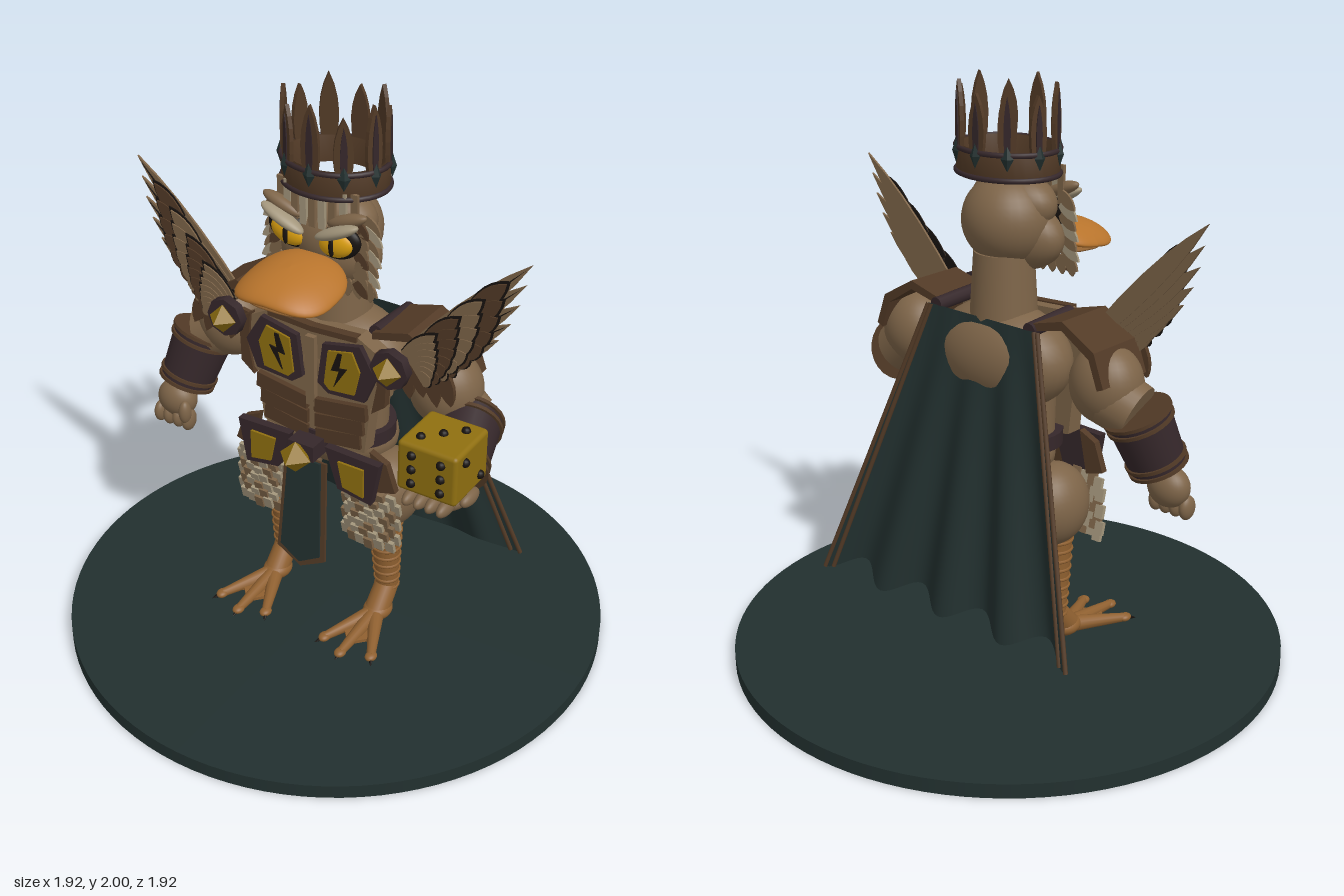
import * as THREE from 'three';
import { RoundedBoxGeometry } from 'three/addons/geometries/RoundedBoxGeometry.js';

const paint = (name, color, extra = {}) => new THREE.MeshStandardMaterial({ name, color, ...extra });
const V = (x, y, z) => new THREE.Vector3(x, y, z);

export function createModel() {
  const model = new THREE.Group();
  model.name = 'crownedBirdWarrior';
  const body = paint('body brown', 0x7d6448), armour = paint('armour brown', 0x523a26);
  const leather = paint('dark leather', 0x35272a), gold = paint('old gold', 0x8f6f10);
  const yellow = paint('eye yellow', 0xdca010), orange = paint('bill orange', 0xb8742c);
  const scale = paint('leg tan', 0x8f6030), cream = paint('feather cream', 0xa2957b);
  const teal = paint('dark teal', 0x22302f, { side: THREE.DoubleSide }), black = paint('black', 0x17120f);

  // Helpers
  const add = (name, geo, mat, pos = [0, 0, 0], rot = [0, 0, 0], size = [1, 1, 1]) => {
    const m = new THREE.Mesh(geo, mat);
    m.name = name;
    m.position.set(...pos); m.rotation.set(...rot); m.scale.set(...size);
    model.add(m);
    return m;
  };
  const ball = new THREE.SphereGeometry(1, 32, 20), bead = new THREE.SphereGeometry(1, 12, 8);
  const blob = (name, mat, pos, size, rot) => add(name, ball, mat, pos, rot, size);
  const box = (name, mat, pos, size, rot) => add(name, new THREE.BoxGeometry(...size), mat, pos, rot);
  const plate = (name, pts, depth, mat, z, rot) => add(name, new THREE.ExtrudeGeometry(
    new THREE.Shape(pts.map(p => new THREE.Vector2(...p))), { depth, bevelEnabled: false }), mat, [0, 0, z], rot);
  const limb = (name, a, b, ra, rb, mat, sides = 24) => {
    const d = b.clone().sub(a);
    const m = add(name, new THREE.CylinderGeometry(rb, ra, d.length(), sides), mat, a.clone().lerp(b, 0.5).toArray());
    m.quaternion.setFromUnitVectors(V(0, 1, 0), d.normalize());
    return m;
  };
  const tube = (name, pts, r, mat, n = 24) =>
    add(name, new THREE.TubeGeometry(new THREE.CatmullRomCurve3(pts), n, r, 10), mat);
  const mirror = (s, pts) => pts.map(([x, y]) => [x * s, y]);
  const both = fn => [1, -1].forEach(fn);

  // Leaf-shaped feather of unit length, pointing up
  const leaf = new THREE.Shape();
  leaf.moveTo(-0.3, 0); leaf.lineTo(0.3, 0);
  leaf.quadraticCurveTo(0.62, 0.6, 0, 1); leaf.quadraticCurveTo(-0.62, 0.6, -0.3, 0);
  const leafGeo = new THREE.ExtrudeGeometry(leaf, { depth: 1, bevelEnabled: false, curveSegments: 5 });
  const feather = (name, x, y, tx, ty, z, width, mat, thick = 0.008) => add(name, leafGeo, mat, [x, y, z],
    [0, 0, Math.atan2(ty - y, tx - x) - Math.PI / 2], [width, Math.hypot(tx - x, ty - y), thick]);

  // Base
  add('base', new THREE.CylinderGeometry(0.96, 0.96, 0.05, 96), teal, [0, 0.025, 0]);

  // Torso, neck and head
  blob('chest', body, [0, 1.09, -0.02], [0.27, 0.18, 0.165]);
  add('waist', new THREE.CylinderGeometry(0.2, 0.19, 0.3, 32), body, [0, 0.93, -0.01], [0, 0, 0], [1, 1, 0.62]);
  blob('belly', body, [0, 0.77, -0.04], [0.21, 0.13, 0.155]);
  add('neck', new THREE.CylinderGeometry(0.1, 0.115, 0.25, 32), body, [0, 1.32, -0.02]);
  blob('head', body, [0, 1.545, 0], [0.155, 0.15, 0.15]);
  blob('face', body, [0, 1.49, 0.04], [0.19, 0.12, 0.1]);
  blob('brow mass', body, [0, 1.6, 0.03], [0.165, 0.1, 0.1]);

  // Forehead feather strips under the crown
  for (let i = -4; i <= 4; i++) {
    const x = i * 0.034;
    box('foreheadFeather', i % 2 ? cream : body, [x, 1.66, 0.135 - 1.6 * x * x], [0.024, 0.13, 0.012]);
  }

  // Bill: squared-off flattened balls, arched across and drooping to the tip
  const bill = (name, mat, w, l, zc, y0, thick, arch, droop) => {
    const g = new THREE.SphereGeometry(1, 40, 24), p = g.attributes.position;
    const square = v => Math.sign(v) * Math.abs(v) ** 0.75;
    for (let i = 0; i < p.count; i++) {
      const x = square(p.getX(i)), z = square(p.getZ(i));
      p.setXYZ(i, w * x, y0 + thick * p.getY(i) - arch * x * x - droop * ((z + 1) / 2) ** 2, zc + l * z);
    }
    g.computeVertexNormals();
    add(name, g, mat);
  };
  bill('upperBill', orange, 0.168, 0.15, 0.26, 1.488, 0.034, 0.045, 0.045);
  bill('lowerBill', scale, 0.135, 0.13, 0.25, 1.43, 0.018, 0.012, 0.02);

  // Eyes, brows and cheek feathers
  both(s => {
    blob('eyeRim', black, [s * 0.092, 1.56, 0.125], [0.08, 0.056, 0.028], [0, 0, s * 0.3]);
    blob('eye', yellow, [s * 0.09, 1.557, 0.137], [0.064, 0.043, 0.027], [0, 0, s * 0.25]);
    blob('pupil', black, [s * 0.085, 1.556, 0.16], [0.01, 0.034, 0.009]);
    blob('brow', cream, [s * 0.1, 1.607, 0.155], [0.085, 0.02, 0.03], [0, 0, s * 0.42]);
    blob('upperBrow', body, [s * 0.12, 1.64, 0.125], [0.075, 0.022, 0.025], [0, 0, s * 0.35]);
    for (let i = 0; i < 7; i++) {
      const y = 1.62 - i * 0.034;
      feather('cheekFeather', s * 0.155, y + 0.02, s * (0.215 + 0.008 * (i % 2)), y - 0.03, 0.075 + i * 0.003, 0.05, i % 2 ? cream : body);
      feather('innerCheekFeather', s * 0.14, y + 0.01, s * 0.185, y - 0.04, 0.1, 0.045, i % 3 ? body : armour);
    }
    for (let i = 0; i < 5; i++)
      feather('chinFeather', s * (0.02 + i * 0.04), 1.43, s * (0.025 + i * 0.042), 1.365, 0.095, 0.05, body);
  });

  // Crown: band, rims, pointed leaves and gems
  const crown = new THREE.Group();
  crown.name = 'crown';
  const band = new THREE.Mesh(new THREE.LatheGeometry([[0.16, 1.7], [0.18, 1.7], [0.182, 1.79], [0.162, 1.79], [0.16, 1.7]]
    .map(p => new THREE.Vector2(...p)), 32), armour);
  band.name = 'crownBand';
  crown.add(band);
  for (const y of [1.705, 1.785]) {
    const rim = new THREE.Mesh(new THREE.TorusGeometry(0.18, 0.009, 8, 40), leather);
    rim.name = 'crownRim'; rim.rotation.x = Math.PI / 2; rim.position.y = y;
    crown.add(rim);
  }
  for (let i = 0; i < 10; i++) {
    const spoke = new THREE.Group(), h = i % 2 ? 0.2 : 0.23;
    spoke.name = 'crownPoint';
    spoke.rotation.y = i * Math.PI / 5;
    const point = new THREE.Mesh(leafGeo, armour);
    point.position.set(0, 1.77, 0.165); point.scale.set(0.08, h, 0.014);
    const rib = new THREE.Mesh(leafGeo, leather);
    rib.position.set(0, 1.78, 0.175); rib.scale.set(0.03, h - 0.04, 0.008);
    const gem = new THREE.Mesh(new THREE.OctahedronGeometry(1), teal);
    gem.position.set(0, 1.775, 0.185); gem.scale.set(0.022, 0.04, 0.014);
    spoke.add(point, rib, gem);
    crown.add(spoke);
  }
  crown.scale.z = 0.84;
  model.add(crown);

  // Breastplate with framed gold panels and banded midriff
  const chestHalf = [[0, 1.24], [0.17, 1.25], [0.28, 1.19], [0.27, 1.04], [0.22, 1], [0.2, 0.82], [0, 0.78]];
  both(s => {
    plate('breastplate', mirror(s, chestHalf), 0.06, body, 0.08);
    plate('chestFrame', mirror(s, [[0.03, 1.05], [0.05, 1.2], [0.19, 1.23], [0.25, 1.13], [0.21, 1.03], [0.07, 1.02]]), 0.025, leather, 0.135);
    plate('chestPanel', mirror(s, [[0.06, 1.06], [0.075, 1.185], [0.165, 1.205], [0.195, 1.14], [0.175, 1.05], [0.08, 1.04]]), 0.008, gold, 0.16);
    plate('chestCrack', mirror(s, [[0.115, 1.19], [0.09, 1.12], [0.12, 1.125], [0.1, 1.06], [0.15, 1.14], [0.12, 1.135], [0.13, 1.19]]), 0.005, black, 0.168);
    for (let i = 0; i < 3; i++) {
      const y = 1.01 - i * 0.06;
      plate('midriffBand', mirror(s, [[0.015, y - 0.03], [0.21 - i * 0.012, y], [0.215 - i * 0.012, y - 0.055], [0.015, y - 0.08]]), 0.03, armour, 0.13 - i * 0.004);
    }
    plate('sideTrim', mirror(s, [[0.24, 1.22], [0.285, 1.19], [0.28, 1.03], [0.23, 0.99], [0.25, 1.1]]), 0.03, armour, 0.12);
    plate('collar', mirror(s, [[0.0, 1.225], [0.17, 1.235], [0.17, 1.255], [0.0, 1.245]]), 0.03, armour, 0.12);
    // Shoulder guard: bent plate running front to back
    plate('shoulderGuard', mirror(s, [[0.2, 1.26], [0.33, 1.295], [0.46, 1.22], [0.5, 1.11], [0.475, 1.1], [0.44, 1.195], [0.33, 1.265], [0.2, 1.235]]), 0.22, armour, -0.12);
    for (let i = 0; i < 5; i++)
      feather('shoulderFringe', s * (0.28 + i * 0.045), 1.2, s * (0.3 + i * 0.05), 1.09 - (i % 2) * 0.02, 0.1, 0.07, armour, 0.015);
    // Shoulder disc and stud
    add('shoulderDisc', new THREE.CylinderGeometry(0.068, 0.068, 0.035, 8), leather, [s * 0.315, 1.2, 0.175], [Math.PI / 2, 0, 0]);
    add('shoulderStud', new THREE.OctahedronGeometry(0.052), gold, [s * 0.315, 1.2, 0.2]);
    // Hip plates
    plate('hipPlate', mirror(s, [[0.07, 0.82], [0.28, 0.815], [0.25, 0.65], [0.12, 0.67]]), 0.03, leather, 0.15);
    plate('hipPanel', mirror(s, [[0.125, 0.785], [0.225, 0.785], [0.225, 0.675], [0.145, 0.69]]), 0.009, gold, 0.18);
    plate('hipTasset', mirror(s, [[0.22, 0.83], [0.285, 0.8], [0.32, 0.7], [0.25, 0.68]]), 0.025, armour, 0.115);
  });
  box('chestRidge', body, [0, 1.08, 0.145], [0.035, 0.26, 0.03]);
  add('belt', new THREE.CylinderGeometry(0.215, 0.215, 0.05, 32), leather, [0, 0.82, -0.01], [0, 0, 0], [1, 1, 0.74]);
  add('buckle', new THREE.OctahedronGeometry(0.06), gold, [0, 0.795, 0.25]);
  box('buckleMount', leather, [0, 0.8, 0.18], [0.1, 0.06, 0.08]);

  // Loincloth, bottom swung slightly forward
  const cloth = k => [[-0.06 - k, 0.76], [0.06 + k, 0.76], [0.075 + k, 0.4 - k], [0, 0.355 - 1.3 * k], [-0.075 - k, 0.4 - k]];
  plate('loinclothTrim', cloth(0.022), 0.01, armour, 0.25, [-0.09, 0, 0].map(v => -v).map(v => -v));
  plate('loincloth', cloth(0.004), 0.008, teal, 0.261, [-0.09, 0, 0]);

  // Wings: long flight feathers under rows of dark-edged coverts
  const tips = [[0.73, 1.64], [0.715, 1.57], [0.7, 1.5], [0.675, 1.43], [0.64, 1.365], [0.59, 1.31], [0.53, 1.25]];
  both(s => tips.forEach(([x, y], i) => {
    const bx = 0.33 + i * 0.012, by = 1.22 - i * 0.008, z = 0.075 + i * 0.003;
    const at = k => [s * (bx + (x - bx) * k), by + (y - by) * k];
    feather('flightFeather', s * bx, by, s * x, y, z, 0.085, body);
    feather('flightQuill', s * bx, by, ...at(0.95), z + 0.009, 0.012, black, 0.004);
    [0.84, 0.66, 0.48, 0.3].forEach((k, r) => {
      const zr = z + 0.012 + r * 0.011;
      feather('covertEdge', ...at(k - 0.28), ...at(k), zr, 0.082, black, 0.004);
      feather('covert', ...at(k - 0.28), ...at(k - 0.025), zr + 0.004, 0.07, r % 2 ? body : armour, 0.005);
    });
  }));

  // Arms: the right hangs, the left reaches forward
  const arm = (s, top, end) => {
    const along = k => top.clone().lerp(end, k);
    blob('upperArm', body, [s * 0.42, 1.08, 0], [0.125, 0.135, 0.115]);
    limb('elbow', V(s * 0.44, 1.04, 0), top, 0.1, 0.095, body);
    limb('bracer', top, end, 0.108, 0.094, leather);
    for (const k of [0, 0.14, 0.86, 1]) limb('bracerTrim', along(k - 0.03), along(k + 0.03), 0.116 - 0.014 * k, 0.116 - 0.014 * k, armour);
  };
  arm(-1, V(-0.53, 1.0, 0.02), V(-0.575, 0.82, 0.08));
  blob('rightPalm', body, [-0.605, 0.745, 0.1], [0.075, 0.07, 0.06]);
  arm(1, V(0.51, 0.985, 0.0), V(0.57, 0.925, 0.19));
  blob('leftPalm', body, [0.58, 0.905, 0.285], [0.09, 0.045, 0.1]);
  for (let i = 0; i < 4; i++) {
    blob('rightFinger', body, [-0.665 + i * 0.04, 0.68, 0.12], [0.022, 0.042, 0.035]);
    blob('leftFinger', body, [0.52 + i * 0.04, 0.925, 0.38], [0.021, 0.026, 0.055]);
  }
  blob('rightThumb', body, [-0.545, 0.72, 0.14], [0.022, 0.045, 0.025]);
  blob('leftThumb', body, [0.675, 0.925, 0.3], [0.022, 0.025, 0.05]);

  // Die resting on the left hand, with raised pips
  const die = new THREE.Group();
  die.name = 'die';
  die.position.set(0.585, 1.045, 0.315);
  const cube = new THREE.Mesh(new RoundedBoxGeometry(0.205, 0.175, 0.205, 3, 0.014), gold);
  cube.name = 'dieBody';
  die.add(cube);
  const four = [[-1, -1], [1, -1], [-1, 1], [1, 1]];
  const pips = (dots, place) => dots.forEach(d => {
    const pip = new THREE.Mesh(bead, black);
    pip.name = 'pip';
    pip.position.set(...place(d[0] * 0.05, d[1] * 0.05));
    pip.scale.setScalar(0.015);
    die.add(pip);
  });
  pips([...four, [-1, 0], [1, 0]], (a, b) => [a, b, 0.103]);
  pips([[0, 0]], (a, b) => [a, b, -0.103]);
  pips([[-1, 1], [0, 0], [1, -1]], (a, b) => [a, 0.088, b]);
  pips(four, (a, b) => [a, -0.088, b]);
  pips([[-1, -1], [1, 1]], (a, b) => [0.103, a, b]);
  pips([...four, [0, 0]], (a, b) => [-0.103, a, b]);
  model.add(die);

  // Legs: thighs with feather scales, ringed shanks and clawed feet
  both(s => {
    blob('thigh', body, [s * 0.205, 0.6, -0.01], [0.12, 0.145, 0.14]);
    for (let r = 0; r < 7; r++) for (let c = 0; c < 6; c++) {
      const dx = (c - 2.5) * 0.036 + (r % 2 ? 0.008 : -0.008);
      box('thighFeather', (r * 2 + c * 3) % 5 < 3 ? cream : body,
        [s * (0.215 + dx), 0.47 + r * 0.031 - (c % 2) * 0.006, 0.145 - 3 * dx * dx], [0.033, 0.046, 0.014], [0.25, 0, 0]);
    }
    const hip = V(s * 0.21, 0.5, 0.01), ankle = V(s * 0.215, 0.19, 0);
    limb('shank', ankle, hip, 0.04, 0.058, scale);
    for (let i = 0; i < 9; i++) {
      const k = i / 9, c = ankle.clone().lerp(hip, k);
      add('shankScale', new THREE.TorusGeometry(0.04 + 0.018 * k, 0.006, 6, 20), scale, c.toArray(), [Math.PI / 2, 0, 0]);
    }
    limb('ankle', V(s * 0.215, 0.11, 0.07), ankle, 0.045, 0.042, scale);
    blob('heel', scale, [s * 0.215, 0.115, 0.06], [0.05, 0.035, 0.06]);
    for (const [x, z] of [[0.125, 0.27], [0.215, 0.31], [0.315, 0.27]]) {
      const root = V(s * 0.215, 0.11, 0.07), end = V(s * x, 0.092, z);
      limb('toe', root, end, 0.03, 0.015, scale, 12);
      blob('toePad', scale, end.toArray(), [0.02, 0.014, 0.025]);
      limb('claw', end, V(s * (x + (x - 0.215) * 0.2), 0.083, z + 0.035), 0.013, 0.001, black, 8);
    }
    plate('web', mirror(s, [[0.215, 0.07], [0.13, 0.23], [0.17, 0.21], [0.215, 0.26], [0.26, 0.21], [0.31, 0.23]])
      .map(([x, z]) => [x, z]), 0.012, scale, 0, [Math.PI / 2, 0, 0]).position.y = 0.1;
  });

  // Cape: flaring sheet with folds deepening towards a scalloped hem
  const capePoint = (u, v) => {
    const x = u * (0.24 + 0.32 * v), fold = Math.cos(u * Math.PI * 4);
    return V(x, 1.24 - v * (0.98 + 0.025 * fold), -0.13 - 0.19 * v - 0.035 * v * fold);
  };
  const capeGeo = new THREE.PlaneGeometry(2, 1, 64, 16), cp = capeGeo.attributes.position;
  for (let i = 0; i < cp.count; i++) cp.setXYZ(i, ...capePoint(cp.getX(i), 0.5 - cp.getY(i)).toArray());
  capeGeo.computeVertexNormals();
  add('cape', capeGeo, teal);
  for (const u of [-1, -0.94, 0.94, 1])
    tube('capeTrim', [0, 0.25, 0.5, 0.75, 1].map(v => capePoint(u, v)), 0.008, armour);
  both(s => limb('capeStrap', V(s * 0.2, 1.25, 0.08), capePoint(s * 0.85, 0), 0.025, 0.025, leather, 10));

  return model;
}
